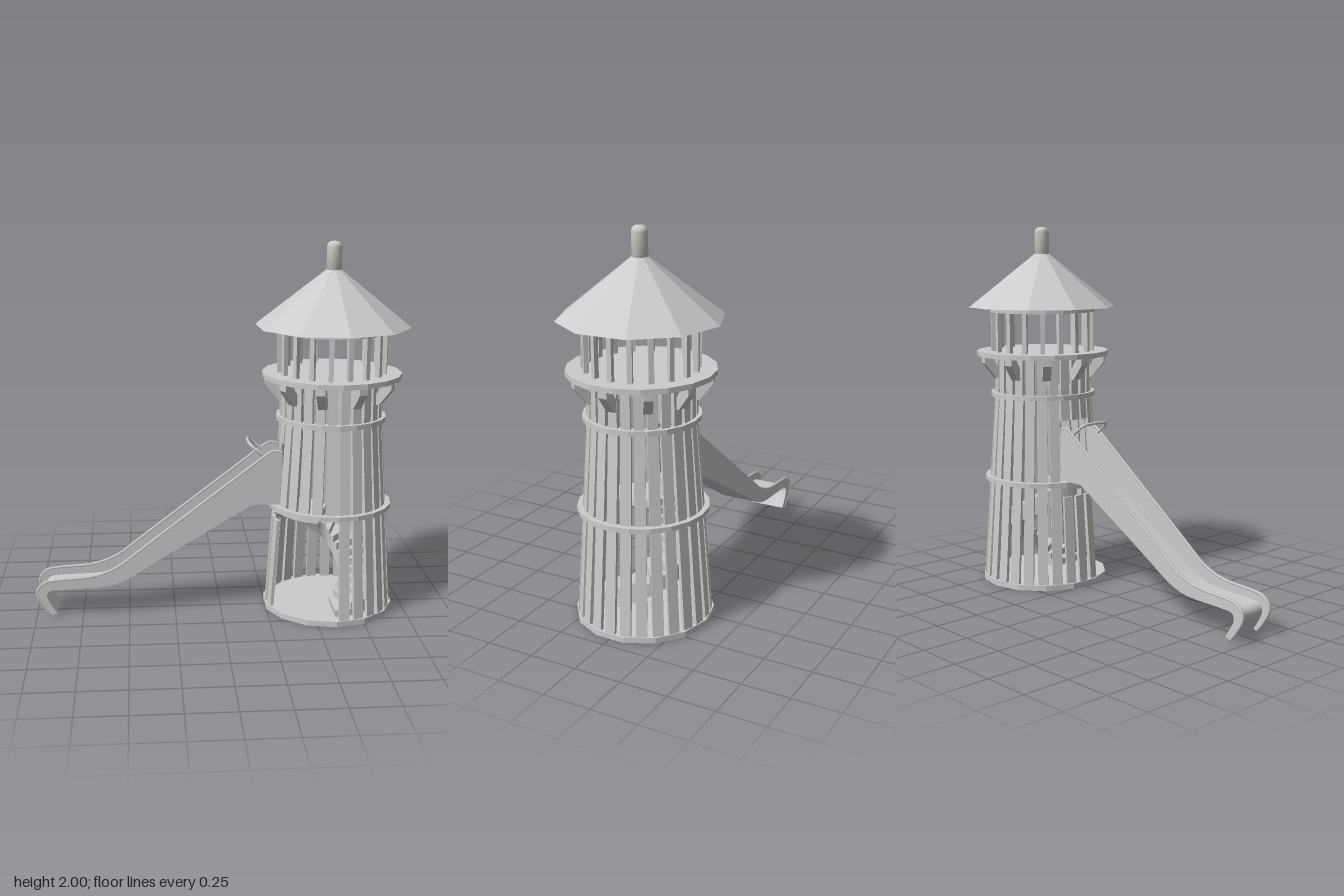
import * as THREE from 'three';

const CX = 0.595; // tower axis
const DEG = Math.PI / 180;
const mat = new THREE.MeshStandardMaterial({ color: 0xcccccc, flatShading: true, side: THREE.DoubleSide });
const smooth = new THREE.MeshStandardMaterial({ color: 0xcccccc });

function add(parent, name, geometry, material = mat) {
  const mesh = new THREE.Mesh(geometry, material);
  mesh.name = name;
  parent.add(mesh);
  return mesh;
}

// A group turned so that its local +x points outwards at angle a (0 = +x, 90 = +z)
function spoke(parent, name, a) {
  const g = new THREE.Group();
  g.name = name;
  g.rotation.y = -a * DEG;
  parent.add(g);
  return g;
}

// Disc or ring with flat faces, standing from y0 to y1
function ring(parent, name, rOut, rIn, y0, y1, sides = 20) {
  const p = [[rIn, y0], [rOut, y0], [rOut, y1], [rIn, y1]];
  if (rIn > 0) p.push([rIn, y0]);
  return add(parent, name, new THREE.LatheGeometry(p.map(([x, y]) => new THREE.Vector2(x, y)), sides));
}

// Curved wedge from angle a0 down to a1, flat on top and sloped below
function wedge(parent, name, a0, a1, rIn, rOut, low0, low1, top, segs) {
  const geo = new THREE.BoxGeometry(1, 1, 1, segs, 1, 1);
  const p = geo.attributes.position;
  for (let i = 0; i < p.count; i++) {
    const u = p.getX(i) + 0.5;
    const a = (a0 + (a1 - a0) * u) * DEG;
    const r = p.getZ(i) > 0 ? rOut : rIn;
    const y = p.getY(i) > 0 ? top : low0 + (low1 - low0) * u;
    p.setXYZ(i, r * Math.cos(a), y, r * Math.sin(a));
  }
  geo.computeVertexNormals();
  return add(parent, name, geo);
}

const wallRadius = (y) => 0.336 - 0.069 * y;

// One board of the tapered wall between two heights
function board(parent, y0, y1, width = 0.055) {
  const r0 = wallRadius(y0), r1 = wallRadius(y1);
  const mesh = add(parent, 'wallBoard', new THREE.BoxGeometry(0.018, Math.hypot(y1 - y0, r1 - r0), width));
  mesh.position.set((r0 + r1) / 2, (y0 + y1) / 2, 0);
  mesh.rotation.z = Math.atan2(r0 - r1, y1 - y0);
}

function buildTower() {
  const tower = new THREE.Group();
  tower.name = 'tower';
  tower.position.x = CX;

  ring(tower, 'base', 0.355, 0, 0, 0.03, 14);
  ring(tower, 'middleBand', 0.334, 0.295, 0.577, 0.603);
  ring(tower, 'upperBand', 0.295, 0.25, 1.055, 1.082);
  ring(tower, 'balconyFloor', 0.372, 0, 1.285, 1.312, 18);
  ring(tower, 'eavesBand', 0.296, 0.25, 1.53, 1.556);

  // Wall boards, with a doorway at the front and an exit to the slide
  const COUNT = 26;
  for (let i = 0; i < COUNT; i++) {
    const a = i * 360 / COUNT;
    const s = spoke(tower, 'wallSpoke', a);
    if (a > 92 && a < 158) board(s, 0.58, 1.06);
    else if (Math.abs(a - 180) < 21) {
      board(s, 0.03, 0.515);
      board(s, 0.94, 1.06);
    } else board(s, 0.03, 1.06);
    add(s, 'upperBoard', new THREE.BoxGeometry(0.018, 0.21, 0.048)).position.set(0.264, 1.18, 0);
  }

  // Lantern posts
  for (let i = 0; i < 18; i++) {
    const s = spoke(tower, 'postSpoke', i * 20);
    add(s, 'lanternPost', new THREE.BoxGeometry(0.025, 0.225, 0.025)).position.set(0.28, 1.42, 0);
  }

  // Balcony struts
  const strut = new THREE.Shape([[0.355, 1.288], [0.315, 1.288], [0.265, 1.215], [0.265, 1.165], [0.288, 1.165], [0.355, 1.25]]
    .map(([x, y]) => new THREE.Vector2(x, y)));
  const strutGeo = new THREE.ExtrudeGeometry(strut, { depth: 0.046, bevelEnabled: false }).translate(0, 0, -0.023);
  for (let i = 0; i < 10; i++) add(spoke(tower, 'strutSpoke', i * 36), 'balconyStrut', strutGeo);

  // Ten-sided roof, open below, and its rounded finial
  add(tower, 'roof', new THREE.CylinderGeometry(0.035, 0.413, 0.3, 10, 1, true, 3.5 * DEG)).position.y = 1.706;
  const finial = [[0, 1.84], [0.04, 1.84], [0.04, 1.97], [0.036, 1.986], [0.024, 1.997], [0, 2]];
  add(tower, 'finial', new THREE.LatheGeometry(finial.map(([x, y]) => new THREE.Vector2(x, y)), 20), smooth);

  // Winding stairs from the doorway up to the slide landing
  const stairs = new THREE.Group();
  stairs.name = 'windingStairs';
  tower.add(stairs);
  const STEPS = 15, turn = 270 / STEPS, rise = 0.56 / STEPS;
  for (let i = 0; i < STEPS; i++) {
    const low = (k) => Math.max(0.03, 0.03 + rise * k - 0.07);
    wedge(stairs, 'step', 90 - turn * i, 90 - turn * (i + 1), 0.07, 0.285, low(i), low(i + 1), 0.03 + rise * (i + 1), 3);
  }
  wedge(stairs, 'landing', 205, 110, 0.05, 0.295, 0.552, 0.552, 0.59, 8);
  return tower;
}

function buildSlide() {
  const slide = new THREE.Group();
  slide.name = 'slide';
  const spline = (pts, n) => new THREE.SplineCurve(pts.map(([x, y]) => new THREE.Vector2(x, y))).getPoints(n);

  // Rim and underside of the side panels, followed from the tower outwards
  const rim = spline([[0.325, 0.895], [0.28, 0.905], [0.235, 0.88], [0.16, 0.823], [-0.1, 0.624], [-0.36, 0.425], [-0.47, 0.34],
    [-0.57, 0.268], [-0.7, 0.222], [-0.88, 0.207], [-0.95, 0.195], [-0.99, 0.158], [-0.992, 0.115], [-0.96, 0.06], [-0.918, 0.005]], 56);
  const bottom = [new THREE.Vector2(0.325, 0.61), ...spline([[0.17, 0.61], [0.12, 0.583], [-0.1, 0.452], [-0.36, 0.295], [-0.46, 0.232],
    [-0.54, 0.19], [-0.65, 0.162], [-0.88, 0.152], [-0.93, 0.143], [-0.942, 0.115], [-0.925, 0.075], [-0.89, 0.018]], 48)];

  const panelGeo = new THREE.ExtrudeGeometry(new THREE.Shape([...rim, ...bottom.slice().reverse()]), { depth: 0.01, bevelEnabled: false });
  const railPath = new THREE.CatmullRomCurve3(rim.map((p) => new THREE.Vector3(p.x, Math.max(p.y, 0.008), 0)));
  const railGeo = new THREE.TubeGeometry(railPath, 70, 0.008, 6);
  for (const side of [-1, 1]) {
    add(slide, 'sidePanel', panelGeo).position.z = side * 0.1 - 0.005;
    add(slide, 'sideRail', railGeo, smooth).position.z = side * 0.1;
  }

  // Bed: a thin sheet lying just above the underside
  const upper = bottom.map((p, i) => {
    const t = bottom[Math.min(i + 1, bottom.length - 1)].clone().sub(bottom[Math.max(i - 1, 0)]).normalize();
    return new THREE.Vector2(p.x + t.y * 0.012, p.y - t.x * 0.012);
  });
  add(slide, 'bed', new THREE.ExtrudeGeometry(new THREE.Shape([...bottom, ...upper.reverse()]), { depth: 0.2, bevelEnabled: false })).position.z = -0.1;

  // Hand hoop at the top
  const hoop = [[0.235, 0.87, -0.095], [0.19, 0.905, -0.095], [0.16, 0.932, -0.08], [0.152, 0.938, -0.05],
    [0.152, 0.938, 0.05], [0.16, 0.932, 0.08], [0.19, 0.905, 0.095], [0.235, 0.87, 0.095]];
  const hoopPath = new THREE.CatmullRomCurve3(hoop.map((p) => new THREE.Vector3(...p)));
  add(slide, 'handHoop', new THREE.TubeGeometry(hoopPath, 40, 0.008, 8), smooth);
  return slide;
}

export function createModel() {
  const model = new THREE.Group();
  model.name = 'towerWithSlide';
  model.add(buildTower(), buildSlide());
  return model;
}
